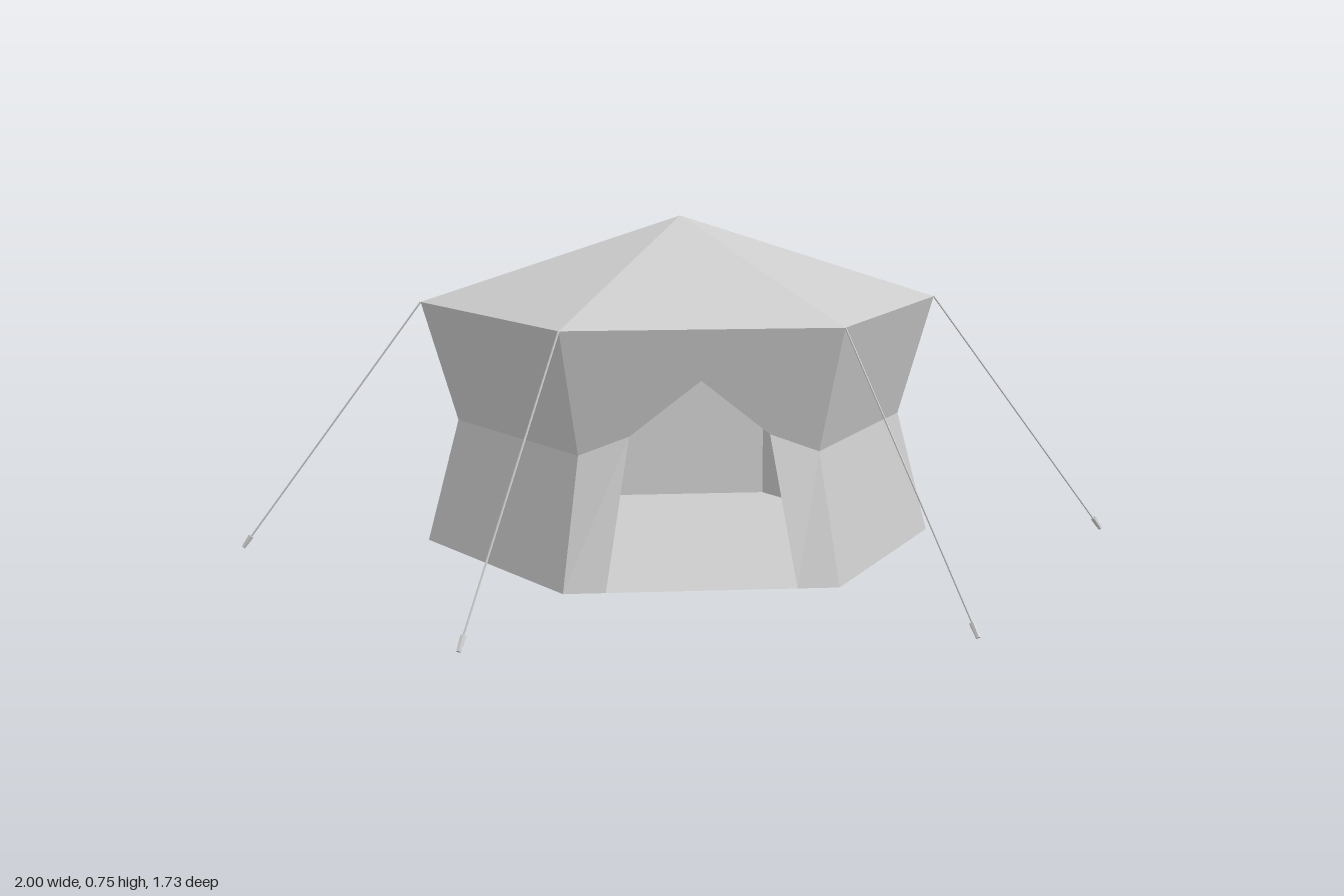
import * as THREE from 'three';

const EAVE = { r: 0.585, y: 0.56 };
const WAIST = { r: 0.505, y: 0.29 };
const BASE = { r: 0.577, y: 0.012 };
const APEX_Y = 0.75;
const SIDE = Math.PI / 3;

const canvas = new THREE.MeshStandardMaterial({ color: 0xcccccc, flatShading: true, side: THREE.DoubleSide });
const solid = new THREE.MeshStandardMaterial({ color: 0xcccccc, flatShading: true });

function add(parent, name, geometry, material = canvas) {
  const mesh = new THREE.Mesh(geometry, material);
  mesh.name = name;
  parent.add(mesh);
  return mesh;
}

// Band of walls around the five closed sides, leaving the front side open
function wallBand(parent, name, top, bottom) {
  const height = top.y - bottom.y;
  const geometry = new THREE.CylinderGeometry(top.r, bottom.r, height, 5, 1, true, SIDE / 2, 5 * SIDE);
  geometry.translate(0, bottom.y + height / 2, 0);
  return add(parent, name, geometry);
}

// Depth of the front wall at a given height
function frontZ(y) {
  const [a, b] = y < WAIST.y ? [BASE, WAIST] : [WAIST, EAVE];
  return Math.cos(SIDE / 2) * THREE.MathUtils.mapLinear(y, a.y, b.y, a.r, b.r);
}

// Flat outline in x and y, laid onto the folded front wall
function frontPanel(parent, name, points) {
  const geometry = new THREE.ShapeGeometry(new THREE.Shape(points.map(([x, y]) => new THREE.Vector2(x, y))));
  const pos = geometry.attributes.position;
  for (let i = 0; i < pos.count; i++) pos.setZ(i, frontZ(pos.getY(i)));
  geometry.computeVertexNormals();
  return add(parent, name, geometry);
}

// Thin rod between two points
function rod(parent, name, a, b, rA, rB, sides) {
  const mesh = add(parent, name, new THREE.CylinderGeometry(rB, rA, a.distanceTo(b), sides), solid);
  mesh.position.copy(a).add(b).multiplyScalar(0.5);
  mesh.quaternion.setFromUnitVectors(new THREE.Vector3(0, 1, 0), b.clone().sub(a).normalize());
  return mesh;
}

export function createModel() {
  const tent = new THREE.Group();
  tent.name = 'tent';

  // Six-sided roof
  const roof = new THREE.ConeGeometry(EAVE.r, APEX_Y - EAVE.y, 6, 1, true, SIDE / 2);
  roof.translate(0, (APEX_Y + EAVE.y) / 2, 0);
  add(tent, 'roof', roof);

  // Pinched walls, with a straight lining inside
  wallBand(tent, 'upperWalls', EAVE, WAIST);
  wallBand(tent, 'lowerWalls', WAIST, BASE);
  wallBand(tent, 'innerLining', { r: 0.498, y: EAVE.y }, { r: 0.498, y: BASE.y });

  // Ground sheet
  const floor = new THREE.CircleGeometry(BASE.r, 6);
  floor.rotateX(-Math.PI / 2).translate(0, BASE.y, 0);
  add(tent, 'floor', floor);

  // Front wall around the pointed doorway
  const front = new THREE.Group();
  front.name = 'frontWall';
  tent.add(front);
  const [eaveX, waistX, baseX] = [EAVE.r / 2, WAIST.r / 2, BASE.r / 2];
  frontPanel(front, 'frontUpperWall', [
    [-eaveX, EAVE.y], [-waistX, WAIST.y], [-0.147, 0.33], [0, 0.45],
    [0.147, 0.33], [waistX, WAIST.y], [eaveX, EAVE.y],
  ]);
  for (const s of [-1, 1]) {
    frontPanel(front, s > 0 ? 'leftDoorSide' : 'rightDoorSide', [
      [s * 0.2, BASE.y], [s * baseX, BASE.y], [s * waistX, WAIST.y], [s * 0.147, 0.33],
    ]);
  }

  // Guy ropes from the eave corners, each held by a slanted peg
  for (let i = 0; i < 6; i++) {
    const at = (r, y) => new THREE.Vector3(r * Math.cos(i * SIDE), y, r * Math.sin(i * SIDE));
    const line = new THREE.Group();
    line.name = 'guyLine';
    rod(line, 'rope', at(0.985, 0.018), at(EAVE.r, EAVE.y), 0.002, 0.002, 4);
    rod(line, 'peg', at(0.995, 0.004), at(0.977, 0.03), 0.005, 0.007, 6);
    tent.add(line);
  }
  return tent;
}
